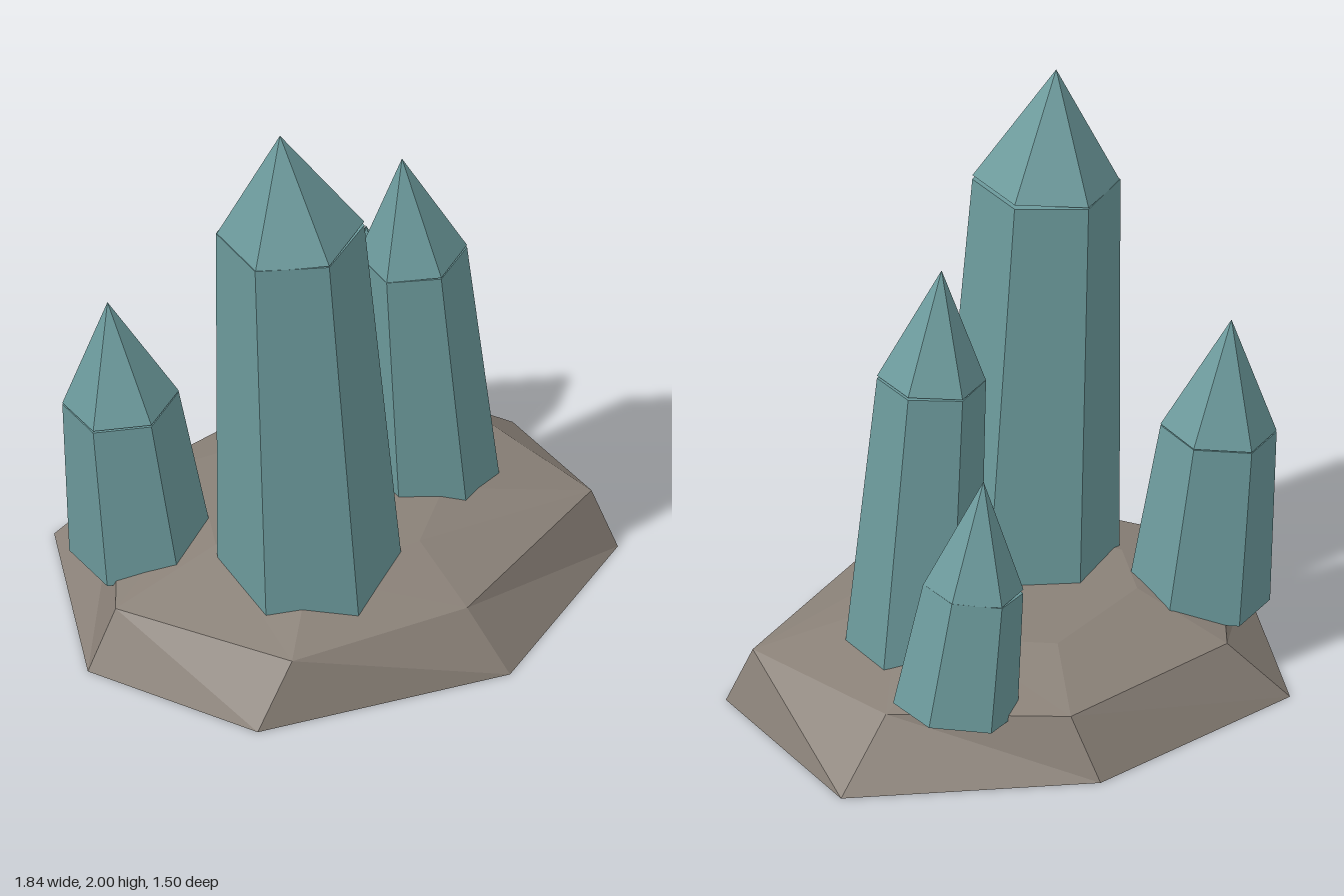
import * as THREE from 'three';

const rockMat = new THREE.MeshStandardMaterial({ color: 0x8a8178, flatShading: true });
const crystalMat = new THREE.MeshStandardMaterial({ color: 0x6c9a9c, flatShading: true });

// Irregular rock: seven-sided rings stacked from the ground up, closed by fans
function makeRock() {
  const rings = [
    { y: 0, pts: [[0.21, 0.75], [0.855, 0.36], [0.915, -0.37], [0.18, -0.755], [-0.63, -0.64], [-0.92, 0.03], [-0.63, 0.585]] },
    { y: 0.2, pts: [[0.14, 0.605], [0.8, 0.29], [0.69, -0.295], [0.215, -0.64], [-0.46, -0.535], [-0.81, 0.02], [-0.48, 0.55]] },
    { y: 0.297, pts: [[0.13, 0.335], [0.34, 0.14], [0.33, -0.16], [0.08, -0.37], [-0.33, -0.22], [-0.43, 0.01], [-0.27, 0.31]] },
  ];
  const n = 7;
  const positions = [];
  const index = [];
  for (const { y, pts } of rings) for (const [x, z] of pts) positions.push(x, y, z);
  positions.push(0, 0, 0, 0, 0.297, 0);
  const bottom = 3 * n;
  const top = bottom + 1;
  for (let i = 0; i < n; i++) {
    const j = (i + 1) % n;
    for (let r = 0; r < 2; r++) {
      const a = r * n + i, b = r * n + j, c = b + n, d = a + n;
      index.push(a, b, d, b, c, d);
    }
    index.push(bottom, j, i, top, 2 * n + i, 2 * n + j);
  }
  const geo = new THREE.BufferGeometry();
  geo.setAttribute('position', new THREE.Float32BufferAttribute(positions, 3));
  geo.setIndex(index);
  geo.computeVertexNormals();
  const mesh = new THREE.Mesh(geo, rockMat);
  mesh.name = 'rockBase';
  return mesh;
}

// Six-sided tapered piece running between two points
function makePiece(name, from, to, rBottom, rTop) {
  const dir = to.clone().sub(from);
  const length = dir.length();
  const geo = rTop > 0
    ? new THREE.CylinderGeometry(rTop, rBottom, length, 6)
    : new THREE.ConeGeometry(rBottom, length, 6);
  const mesh = new THREE.Mesh(geo, crystalMat);
  mesh.name = name;
  mesh.position.copy(from).addScaledVector(dir, 0.5);
  mesh.quaternion.setFromUnitVectors(new THREE.Vector3(0, 1, 0), dir.normalize());
  return mesh;
}

// Crystal: leaning shaft with a pointed tip
function makeCrystal({ name, foot, shoulder, tip, r, rTop }) {
  const [a, b, c] = [foot, shoulder, tip].map((p) => new THREE.Vector3(...p));
  const group = new THREE.Group();
  group.name = name;
  group.add(makePiece('crystalShaft', a, b, r, rTop));
  b.y += 0.005;
  group.add(makePiece('crystalTip', b, c, rTop, 0));
  return group;
}

export function createModel() {
  const model = new THREE.Group();
  model.name = 'crystalCluster';
  model.add(makeRock());
  const crystals = [
    { name: 'tallCrystal', foot: [-0.195, 0.2, 0.2], shoulder: [-0.27, 1.612, 0.2], tip: [-0.308, 2, 0.2], r: 0.295, rTop: 0.236 },
    { name: 'middleCrystal', foot: [0.385, 0.2, 0], shoulder: [0.311, 1.163, 0], tip: [0.272, 1.547, 0], r: 0.216, rTop: 0.174 },
    { name: 'leftEdgeCrystal', foot: [-0.56, 0.2, -0.23], shoulder: [-0.627, 0.795, -0.245], tip: [-0.668, 1.185, -0.258], r: 0.229, rTop: 0.186 },
    { name: 'smallCrystal', foot: [0.488, 0.2, -0.39], shoulder: [0.416, 0.612, -0.385], tip: [0.376, 0.99, -0.385], r: 0.2, rTop: 0.161 },
  ];
  for (const crystal of crystals) model.add(makeCrystal(crystal));
  return model;
}
